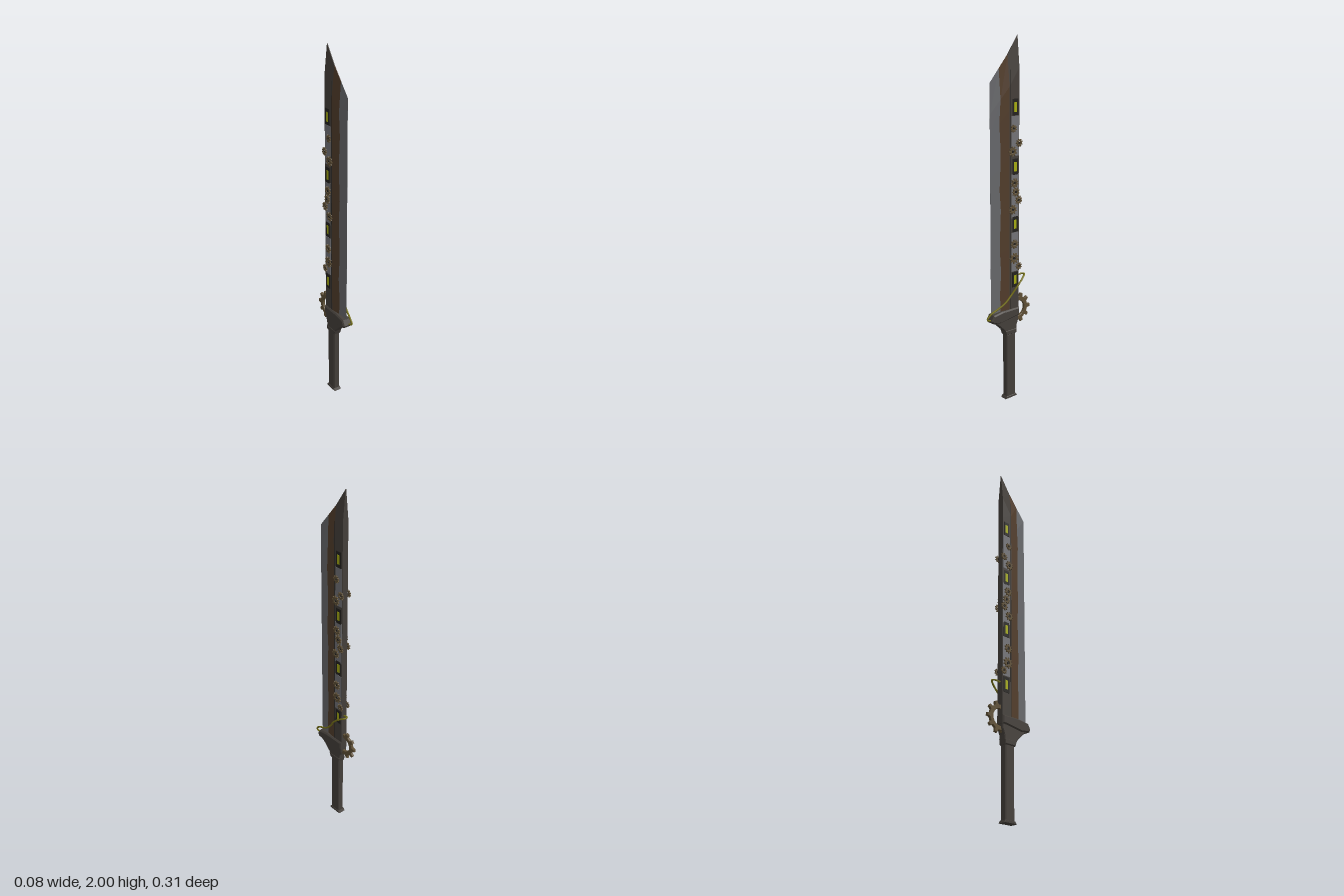
import * as THREE from 'three';

const mat = (name, color) => {
  const m = new THREE.MeshStandardMaterial({ color });
  m.name = name;
  return m;
};

export function createModel() {
  const steel = mat('edge steel', 0x68696c);
  const rust = mat('rusty brown', 0x523d2b);
  const iron = mat('dark iron', 0x443f3a);
  const plateGrey = mat('light plate', 0x737377);
  const black = mat('slot black', 0x24221f);
  const glow = mat('yellow green light', 0xa5ab12);
  const brass = mat('aged brass', 0x5e4f35);
  const cableMat = mat('cable yellow', 0x77721a);

  const CX = -0.0135; // middle plane of the sword
  const model = new THREE.Group();
  model.name = 'sword';
  const sword = new THREE.Group();
  sword.name = 'swordBody';
  sword.position.x = CX;
  model.add(sword);

  const add = (name, geo, material, x = 0, y = 0, z = 0) => {
    const m = new THREE.Mesh(geo, material);
    m.name = name;
    m.position.set(x, y, z);
    sword.add(m);
    return m;
  };
  const box = (name, material, sx, sy, sz, x, y, z) =>
    add(name, new THREE.BoxGeometry(sx, sy, sz), material, x, y, z);

  // Extrude a (z, y) shape symmetrically across x, with chamfered rims
  const slab = (shape, half, bevel = 0) => {
    const depth = 2 * (half - bevel);
    const g = new THREE.ExtrudeGeometry(shape, {
      depth, bevelEnabled: bevel > 0, bevelSize: bevel, bevelOffset: -bevel,
      bevelThickness: bevel, bevelSegments: 1, curveSegments: 10,
    });
    g.translate(0, 0, -depth / 2);
    return g.rotateY(-Math.PI / 2);
  };
  const poly = (pts) => new THREE.Shape(pts.map(([z, y]) => new THREE.Vector2(z, y)));

  // ---- Blade: strips between columns of z, tapering to the edge and tip ----
  const topAt = (z) => (z > 0 ? 1.905 - z * 1.154 : 1.905 - z * 1.44);
  const halfAt = (z) => (z > 0 ? 0.0175 * (1 - z / 0.119) : 0.0175);
  const ROWS = 11;
  const point = (z, row, side) => {
    const top = topAt(z);
    const tip = row === ROWS;
    const y = tip ? top : 0.52 + (top - 0.16 - 0.52) * (row / (ROWS - 1));
    return [side * halfAt(z) * (tip ? 0.1 : 1), y, z];
  };
  const wavy = (row) => 0.057 + 0.004 * Math.sin(row * 2.3);
  const surface = (quads) => {
    const pos = [];
    for (const [a, b, c, d] of quads) pos.push(...a, ...b, ...c, ...a, ...c, ...d);
    const g = new THREE.BufferGeometry();
    g.setAttribute('position', new THREE.Float32BufferAttribute(pos, 3));
    g.computeVertexNormals();
    return g;
  };
  const strip = (name, material, zFront, zBack) => {
    const quads = [];
    for (const s of [1, -1]) {
      for (let r = 0; r < ROWS; r++) {
        const q = [point(zFront(r), r, s), point(zBack(r), r, s),
          point(zBack(r + 1), r + 1, s), point(zFront(r + 1), r + 1, s)];
        quads.push(s > 0 ? q : q.reverse());
      }
    }
    // sloped cut along the top
    const f = zFront(ROWS), b = zBack(ROWS);
    quads.push([point(f, ROWS, -1), point(f, ROWS, 1), point(b, ROWS, 1), point(b, ROWS, -1)]);
    return add(name, surface(quads), material);
  };
  strip('cuttingEdge', steel, () => 0.117, wavy);
  strip('rustBand', rust, wavy, () => 0);
  strip('bladeBack', iron, () => 0, () => -0.066);
  const spine = [], front = [];
  for (let r = 0; r < ROWS; r++) {
    const ring = (z) => [point(z, r, 1), point(z, r, -1), point(z, r + 1, -1), point(z, r + 1, 1)];
    spine.push(ring(-0.066));
    front.push(ring(0.117).reverse());
  }
  add('bladeSpine', surface(spine), iron);
  add('bladeEdgeLine', surface(front), steel);

  // ---- Gears ----
  const gearShape = (rTip, rRoot, hole, teeth) => {
    const pts = [];
    for (let i = 0; i < teeth; i++) {
      [[-0.27, rRoot], [-0.15, rTip], [0.15, rTip], [0.27, rRoot]].forEach(([t, r]) => {
        const a = ((i + t) / teeth) * Math.PI * 2;
        pts.push([r * Math.cos(a), r * Math.sin(a)]);
      });
    }
    const s = poly(pts);
    s.holes.push(new THREE.Path().absarc(0, 0, hole, 0, Math.PI * 2, true));
    return s;
  };
  add('guardGear', slab(gearShape(0.086, 0.068, 0.045, 10), 0.008, 0.002), brass, 0, 0.522, -0.071);

  // z, y and radius of the small gears, repeated on both faces
  const gears = [
    [-0.024, 1.53, 0.021], [-0.061, 1.452, 0.022], [-0.019, 1.41, 0.027],
    [-0.03, 1.242, 0.026], [-0.04, 1.192, 0.025], [-0.058, 1.146, 0.024],
    [-0.02, 1.098, 0.026], [-0.03, 0.906, 0.026], [-0.03, 0.825, 0.031],
    [-0.061, 0.775, 0.021],
  ];
  for (const s of [1, -1]) {
    // groove line beside the panel
    box('panelGroove', black, 0.002, 1.3, 0.004, s * 0.0175, 1.18, -0.004);
    // light plates behind the gears
    for (const [y, h] of [[1.49, 0.21], [1.17, 0.24], [0.86, 0.22]])
      box('gearPlate', plateGrey, 0.003, h, 0.05, s * 0.0175, y, -0.038);
    // lit slots
    for (const y of [1.64, 1.328, 1.015, 0.702]) {
      box('slotFrame', black, 0.004, 0.085, 0.038, s * 0.018, y, -0.038);
      box('slotLight', glow, 0.005, 0.05, 0.018, s * 0.0185, y, -0.038);
    }
    gears.forEach(([z, y, r], i) => {
      add('smallGear', slab(gearShape(r, r * 0.74, r * 0.36, 9), 0.0035, 0.001), brass,
        s * (0.0215 + (i % 2) * 0.002), y, z);
      const pin = new THREE.CylinderGeometry(r * 0.24, r * 0.24, 0.008, 8).rotateZ(Math.PI / 2);
      add('gearPin', pin, black, s * 0.021, y, z);
    });
  }

  // ---- Guard ----
  add('guardBody', slab(poly([
    [0.128, 0.5], [0.11, 0.525], [-0.064, 0.535], [-0.064, 0.465], [-0.052, 0.435],
    [-0.046, 0.385], [0.017, 0.385], [0.036, 0.418], [0.085, 0.465], [0.122, 0.482],
  ]), 0.021, 0.004), iron);
  add('guardBar', slab(poly([
    [0.131, 0.497], [0.114, 0.527], [0.05, 0.536], [-0.066, 0.536],
    [-0.066, 0.49], [0.07, 0.472], [0.122, 0.482],
  ]), 0.0275, 0.007), iron);
  add('guardCollar', slab(poly([
    [0.024, 0.387], [0.034, 0.415], [-0.051, 0.415], [-0.047, 0.387],
  ]), 0.0235, 0.004), iron);

  // ---- Handle and pommel ----
  add('handle', slab(poly([[0.02, 0.008], [0.02, 0.39], [-0.043, 0.39], [-0.043, 0.008]].reverse()),
    0.0185, 0.005), iron);
  add('pommel', slab(poly([[0.03, 0], [0.021, 0.014], [-0.045, 0.014], [-0.053, 0]].reverse()),
    0.022, 0.002), iron);

  // ---- Cable looping from the blade back to the guard nose ----
  const path = new THREE.CatmullRomCurve3([
    [-0.012, 0.715, -0.066], [-0.009, 0.72, -0.095], [0.01, 0.722, -0.1], [0.029, 0.712, -0.075],
    [0.035, 0.675, -0.033], [0.025, 0.63, 0], [0.019, 0.585, 0.045], [0.01, 0.56, 0.085],
    [0.001, 0.535, 0.132], [-0.001, 0.51, 0.152], [-0.004, 0.498, 0.122],
  ].map((p) => new THREE.Vector3(...p)));
  const cable = new THREE.Mesh(new THREE.TubeGeometry(path, 60, 0.005, 8), cableMat);
  cable.name = 'cable';
  model.add(cable);

  return model;
}
